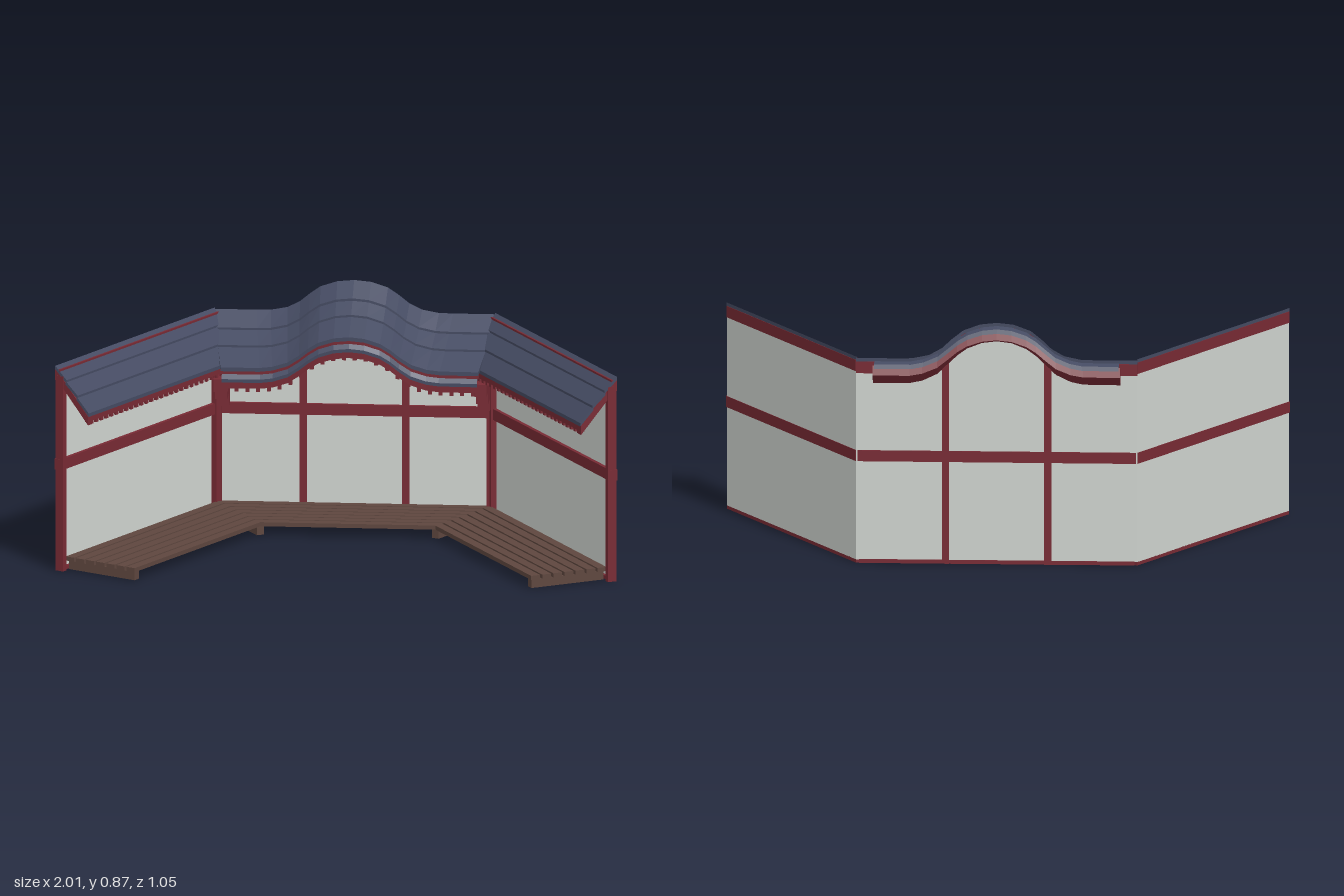
import * as THREE from 'three';

const mat = (name, color) => {
  const m = new THREE.MeshStandardMaterial({ color, flatShading: true });
  m.name = name;
  return m;
};

// height of the raised hump along the middle roof
const HUMP = [[0, .125], [.06, .119], [.12, .098], [.16, .068], [.195, .037], [.24, .013], [.3, .001], [.35, 0], [.6, 0]];
function hump(x) {
  const a = Math.abs(x);
  for (let i = 1; i < HUMP.length; i++) {
    const [x0, h0] = HUMP[i - 1], [x1, h1] = HUMP[i];
    if (a <= x1) return h0 + (h1 - h0) * (a - x0) / (x1 - x0);
  }
  return 0;
}
const STEPS = [-.5, -.35, -.3, -.24, -.195, -.16, -.12, -.06, 0, .06, .12, .16, .195, .24, .3, .35, .5].map(v => v + .5);

// Sweep a convex (z, y, follow) loop along x; ends(z) gives the two x limits, so ends can be mitred.
function sweep(loop, ends, curved = false, lean = true) {
  const ts = curved ? STEPS : [0, 1], n = loop.length, pos = [];
  const rows = ts.map(t => loop.map(([z, y, follow = 1]) => {
    const [a, b] = ends(z), x = a + (b - a) * t;
    const h = curved ? hump(x) * follow : 0;
    return [x, y + h, z + (lean ? h * (z < -.35 ? .28 : .16) : 0)];
  }));
  const tri = (a, b, c) => pos.push(...a, ...b, ...c);
  for (let i = 0; i + 1 < rows.length; i++) {
    for (let j = 0; j < n; j++) {
      const k = (j + 1) % n;
      tri(rows[i][j], rows[i + 1][j], rows[i + 1][k]);
      tri(rows[i][j], rows[i + 1][k], rows[i][k]);
    }
  }
  const last = rows[rows.length - 1];
  for (let j = 1; j + 1 < n; j++) {
    tri(rows[0][0], rows[0][j], rows[0][j + 1]);
    tri(last[0], last[j + 1], last[j]);
  }
  const g = new THREE.BufferGeometry();
  g.setAttribute('position', new THREE.Float32BufferAttribute(pos, 3));
  g.computeVertexNormals();
  return g;
}
const rect = (z0, z1, y0, y1) => [[z0, y0], [z1, y0], [z1, y1], [z0, y1]];
const slab = ([z0, y0], [z1, y1], t) => [[z0, y0 - t], [z1, y1 - t], [z1, y1], [z0, y0]];

export function createModel() {
  const wallMat = mat('pale wall', 0xd0d5d0);
  const red = mat('dark red timber', 0x782a34);
  const navy = mat('navy roof', 0x454b62);
  const brown = mat('brown bench wood', 0x5e463e);

  const model = new THREE.Group();
  model.name = 'shelter';
  const add = (parent, name, geo, m) => {
    const mesh = new THREE.Mesh(geo, m);
    mesh.name = name;
    parent.add(mesh);
    return mesh;
  };
  const box = (parent, name, m, x0, x1, y0, y1, z0, z1) => {
    const mesh = add(parent, name, new THREE.BoxGeometry(x1 - x0, y1 - y0, z1 - z0), m);
    mesh.position.set((x0 + x1) / 2, (y0 + y1) / 2, (z0 + z1) / 2);
    return mesh;
  };
  const MITRE = Math.tan(Math.PI / 6);
  const BACK = -.49;
  const SLATS = 7, PITCH = .0435, SLAT = .035;

  // ---------- back section ----------
  const back = new THREE.Group();
  back.name = 'backSection';
  model.add(back);
  const span = w => () => [-w, w];

  add(back, 'backWall', sweep([[BACK, .012, 0], [-.475, .012, 0], [-.475, .7], [BACK, .7]], span(.5), true, false), wallMat);
  box(back, 'backBaseRail', red, -.49, .49, 0, .014, -.492, -.465);
  box(back, 'backMiddleRail', red, -.495, .495, .37, .41, -.493, -.462);
  for (const x of [-.182, .182]) box(back, 'backPost', red, x - .013, x + .013, 0, .7 + hump(x), -.493, -.462);
  for (const s of [-1, 1]) {
    const x = s * .485;
    box(back, 'cornerPost', red, x - .013, x + .013, 0, .68, -.475, -.45);
    // stepped bracket under the eave
    for (let i = 0; i < 3; i++) {
      const c = s * .465;
      box(back, 'cornerBracket', red, c - .022, c + .022, .41 + i * .045, .455 + i * .045, -.46, -.41 + i * .075);
    }
  }

  // overlapping roof rows following the hump
  const roofEnds = z => {
    const w = .5 - .04 * Math.max(0, (z - BACK) / .25);
    return [-w, w];
  };
  const backRows = [[BACK, .745], [-.42, .692], [-.345, .647], [-.24, .592]];
  for (let i = 0; i < 3; i++) {
    const [z0, y0] = backRows[i], [z1, y1] = backRows[i + 1];
    add(back, 'backRoofRow', sweep(slab([z0, y0], [z1 + .006, y1 + .005], .014), roofEnds, true), navy);
  }
  add(back, 'backEaveTrim', sweep(rect(-.25, -.237, .572, .588), span(.46), true), red);
  add(back, 'lowerEaveRoof', sweep(slab([-.25, .582], [-.226, .556], .012), span(.455), true), navy);
  add(back, 'lowerEaveBoard', sweep(rect(-.242, -.229, .522, .55), span(.455), true), red);
  for (let i = 0; i < 24; i++) {
    const x = -.44 + i * .88 / 23, y = .51 + hump(x);
    box(back, 'backEaveTooth', red, x - .007, x + .007, y, y + .025, -.239, -.23);
  }
  // rear of the ridge
  add(back, 'rearFascia', sweep(rect(-.492, -.472, .69, .732), span(.5), true), red);
  add(back, 'rearLip', sweep([[-.53, .69], [-.49, .655], [-.478, .7], [-.515, .724]], span(.44), true), red);
  add(back, 'rearLipRoof', sweep([[-.522, .712], [-.485, .71], [-.485, .735], [-.516, .727]], span(.435), true), navy);

  // mitred bench slats
  for (let i = 0; i < SLATS; i++) {
    const d = .03 + i * PITCH;
    add(back, 'backBenchSlat', sweep(rect(BACK + d, BACK + d + SLAT, .035, .05), z => {
      const w = .5 - MITRE * (z - BACK);
      return [-w, w];
    }), brown);
  }

  // ---------- two angled wings ----------
  for (const s of [-1, 1]) {
    const wing = new THREE.Group();
    wing.name = s > 0 ? 'leftWing' : 'rightWing';
    wing.position.set(s * .75, 0, BACK + .433);
    wing.rotation.y = -s * Math.PI / 3;
    model.add(wing);
    // a = distance from the inner corner along the wing
    const at = a => s * (a - .5);
    const range = (a, b) => s > 0 ? [at(a), at(b)] : [at(b), at(a)];
    const part = (name, m, loop, from, to) => add(wing, name, sweep(loop, z => range(from(z), to)), m);
    const flat = () => 0;
    const mitre = z => MITRE * Math.max(0, z);

    part('wingWall', wallMat, rect(0, .014, .012, .7), flat, 1);
    part('wingBaseRail', red, rect(0, .025, 0, .013), flat, 1);
    part('wingMiddleRail', red, rect(-.002, .028, .37, .41), flat, 1.004);
    part('wingTopRail', red, rect(-.002, .02, .697, .738), flat, 1);
    part('endPost', red, rect(.002, .035, 0, .715), () => .982, 1.002);
    part('innerPost', red, rect(.014, .035, 0, .69), () => .015, .04);

    // overlapping roof rows
    const rows = [[0, .75], [.045, .7], [.092, .65], [.14, .592]];
    for (let i = 0; i < 3; i++) {
      const [z0, y0] = rows[i], [z1, y1] = rows[i + 1];
      part('wingRoofRow', navy, slab([z0, y0], [z1 + .004, y1 + .004], .013), mitre, 1.001);
    }
    part('gableBoard', red, slab([.002, .737], [.14, .583], .032), () => .978, .999);
    part('wingEaveBoard', red, rect(.127, .14, .563, .585), mitre, 1);
    for (let i = 0; i < 28; i++) {
      const x = at(.12 + i * .85 / 27);
      box(wing, 'wingEaveTooth', red, x - .007, x + .007, .551, .565, .129, .138);
    }

    // bench
    for (let i = 0; i < SLATS; i++) {
      const d = .03 + i * PITCH;
      part('wingBenchSlat', brown, rect(d, d + SLAT, .035, .05), mitre, .978);
    }
    part('benchEndSupport', brown, rect(.04, .322, .004, .035), () => .945, .973);
    const corner = box(wing, 'benchCornerSupport', brown, -.014, .014, .004, .035, -.17, .17);
    corner.position.set(at(.105), .0195, .18);
    corner.rotation.y = s * Math.PI / 6;
  }
  return model;
}
